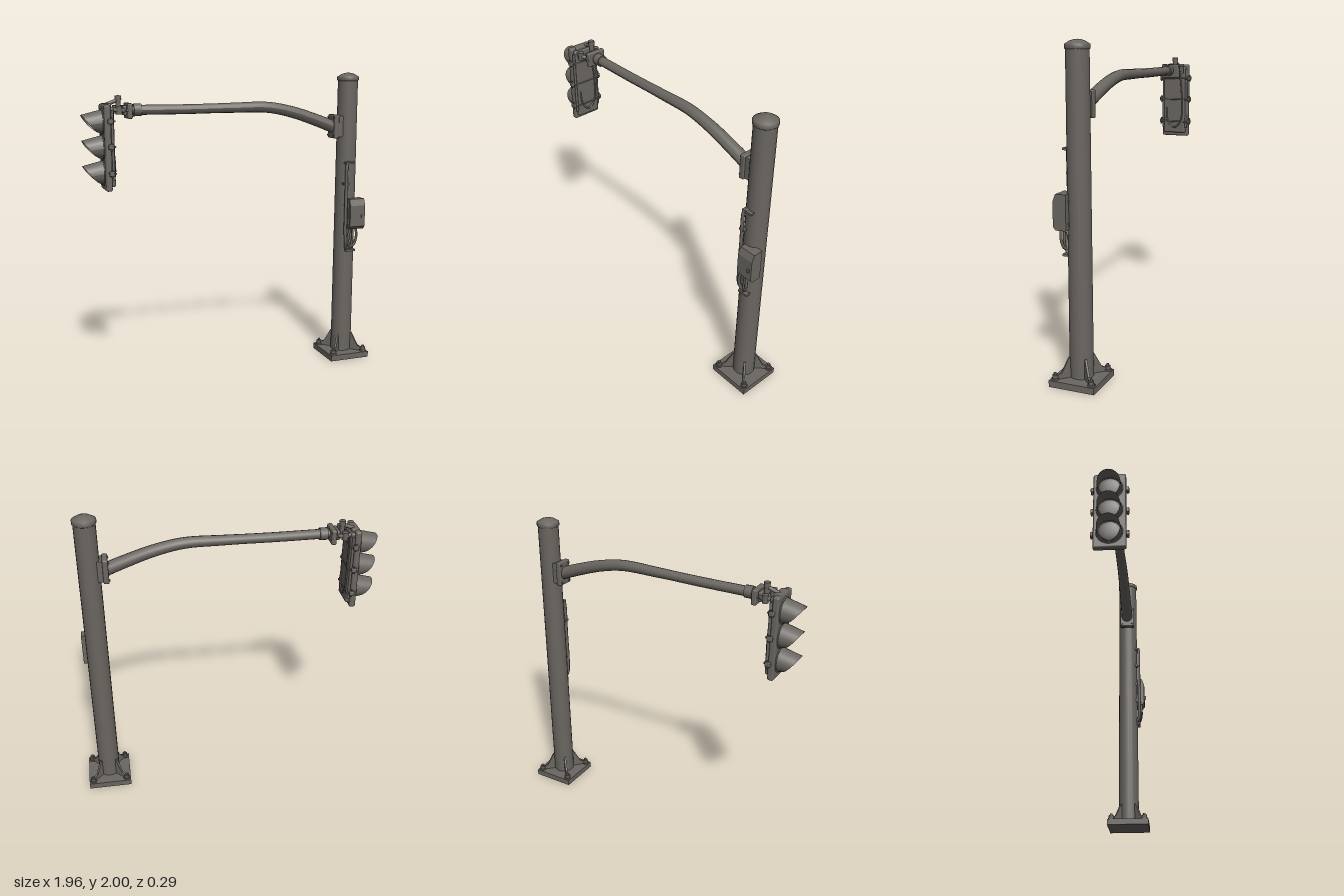
import * as THREE from 'three';
import { RoundedBoxGeometry } from 'three/addons/geometries/RoundedBoxGeometry.js';

const V = (x, y, z) => new THREE.Vector3(x, y, z);
const POLE_X = 0.834;

export function createModel() {
  const steel = new THREE.MeshStandardMaterial({ color: 0x6a6661, side: THREE.DoubleSide });
  steel.name = 'weathered grey steel';
  const root = new THREE.Group();
  root.name = 'trafficSignalPole';

  // Helpers
  const add = (parent, name, geo, x = 0, y = 0, z = 0) => {
    const m = new THREE.Mesh(geo, steel);
    m.name = name;
    m.position.set(x, y, z);
    parent.add(m);
    return m;
  };
  const group = (name, x = 0, y = 0, z = 0) => {
    const g = new THREE.Group();
    g.name = name;
    g.position.set(x, y, z);
    root.add(g);
    return g;
  };
  const box = (p, name, w, h, d, x, y, z) => add(p, name, new THREE.BoxGeometry(w, h, d), x, y, z);
  const rbox = (p, name, w, h, d, x, y, z, r = 0.01) =>
    add(p, name, new RoundedBoxGeometry(w, h, d, 2, r), x, y, z);
  const rod = (p, name, a, b, r, sides = 10) => {
    const dir = b.clone().sub(a);
    const m = add(p, name, new THREE.CylinderGeometry(r, r, dir.length(), sides));
    m.position.copy(a).add(b).multiplyScalar(0.5);
    m.quaternion.setFromUnitVectors(V(0, 1, 0), dir.normalize());
    return m;
  };
  const pipe = (p, name, pts, r, seg = 32) =>
    add(p, name, new THREE.TubeGeometry(new THREE.CatmullRomCurve3(pts, false, 'centripetal'), seg, r, 8));

  // Base plate with corner gussets and anchor bolts
  const base = group('base', POLE_X);
  box(base, 'basePlate', 0.29, 0.04, 0.29, 0, 0.02, 0);
  const gusset = new THREE.Shape();
  [[0.05, 0.04], [0.175, 0.04], [0.175, 0.052], [0.125, 0.075], [0.078, 0.165], [0.05, 0.165]]
    .forEach(([x, y], i) => (i ? gusset.lineTo(x, y) : gusset.moveTo(x, y)));
  const gussetGeo = new THREE.ExtrudeGeometry(gusset, { depth: 0.014, bevelEnabled: false });
  gussetGeo.translate(0, 0, -0.007);
  for (let i = 0; i < 4; i++) {
    const a = Math.PI / 4 + (i * Math.PI) / 2;
    add(base, 'gusset', gussetGeo).rotation.y = a;
    const x = Math.cos(a) * 0.165, z = -Math.sin(a) * 0.165;
    add(base, 'boltWasher', new THREE.CylinderGeometry(0.023, 0.023, 0.01, 12), x, 0.045, z);
    add(base, 'boltNut', new THREE.CylinderGeometry(0.018, 0.018, 0.02, 6), x, 0.06, z);
    add(base, 'boltEnd', new THREE.CylinderGeometry(0.009, 0.009, 0.014, 8), x, 0.075, z);
  }

  // Pole and domed cap
  add(root, 'pole', new THREE.CylinderGeometry(0.068, 0.072, 1.92, 20), POLE_X, 1.0, 0);
  const cap = [[0.068, 1.945], [0.074, 1.95], [0.074, 1.972], [0.066, 1.977], [0.045, 1.99], [0.02, 1.998], [0, 2]];
  add(root, 'poleCap', new THREE.LatheGeometry(cap.map(([r, y]) => new THREE.Vector2(r, y)), 20), POLE_X, 0, 0);

  // Arm mounting bracket
  const mount = group('armMount', 0, 1.64, 0);
  rbox(mount, 'mountPlate', 0.035, 0.16, 0.11, 0.734, 0, 0, 0.008);
  box(mount, 'mountSaddle', 0.05, 0.14, 0.09, 0.76, 0, 0);
  for (const y of [-0.06, 0.06]) for (const z of [-0.04, 0.04])
    rod(mount, 'mountBolt', V(0.71, y, z), V(0.72, y, z), 0.008, 6);

  // Tapered curved arm: a cylinder bent along a curve
  const path = new THREE.CatmullRomCurve3([V(0.73, 1.637, 0), V(0.6, 1.685, 0), V(0.43, 1.74, 0),
    V(0.25, 1.775, 0), V(0.0, 1.776, 0), V(-0.3, 1.772, 0), V(-0.63, 1.772, 0)]);
  const armGeo = new THREE.CylinderGeometry(1, 1, 1, 12, 32);
  const pos = armGeo.attributes.position;
  for (let i = 0; i < pos.count; i++) {
    const t = THREE.MathUtils.clamp(pos.getY(i) + 0.5, 0, 1);
    const r = 0.042 - 0.011 * Math.min(1, t * 1.6);
    const n = path.getTangentAt(t).cross(V(0, 0, 1));
    const p = path.getPointAt(t).addScaledVector(n, pos.getX(i) * r);
    pos.setXYZ(i, p.x, p.y, pos.getZ(i) * r);
  }
  armGeo.computeVertexNormals();
  add(root, 'arm', armGeo);

  // Clamp and hanger joining the arm to the signal
  const hanger = group('signalHanger');
  rod(hanger, 'armCollar', V(-0.605, 1.772, 0), V(-0.655, 1.772, 0), 0.039, 12);
  rod(hanger, 'armNeck', V(-0.65, 1.772, 0), V(-0.73, 1.772, 0), 0.027, 12);
  rbox(hanger, 'clampPlate', 0.032, 0.095, 0.13, -0.685, 1.768, -0.005, 0.008);
  rbox(hanger, 'clampJaw', 0.025, 0.06, 0.1, -0.715, 1.772, 0, 0.008);
  for (const s of [-1, 1]) {
    pipe(hanger, 'hangerLoop', [V(-0.71, 1.772, s * 0.025), V(-0.728, 1.772, s * 0.052),
      V(-0.755, 1.774, s * 0.062), V(-0.785, 1.778, s * 0.058), V(-0.82, 1.78, s * 0.055)], 0.014, 16);
    rod(hanger, 'hangerKnuckle', V(-0.755, 1.75, s * 0.06), V(-0.755, 1.8, s * 0.06), 0.021, 8);
    rod(hanger, 'clampBolt', V(-0.67, 1.772, s * 0.053), V(-0.71, 1.772, s * 0.053), 0.009, 6);
  }
  rod(hanger, 'hangerPost', V(-0.744, 1.745, -0.02), V(-0.744, 1.855, -0.02), 0.016);
  rod(hanger, 'hangerPostCap', V(-0.744, 1.835, -0.02), V(-0.744, 1.862, -0.02), 0.021, 8);
  rod(hanger, 'hangerLink', V(-0.744, 1.835, -0.02), V(-0.825, 1.805, -0.02), 0.012);

  // Signal housing, facing -x
  const head = group('signalHead', -0.825, 1.545, 0);
  rbox(head, 'housingFront', 0.04, 0.53, 0.2, -0.008, 0, 0, 0.012);
  rbox(head, 'housingBack', 0.035, 0.49, 0.165, 0.018, 0.005, 0, 0.012);
  rbox(head, 'topCap', 0.05, 0.03, 0.12, 0, 0.255, 0, 0.01);
  for (const s of [-1, 1]) {
    rod(head, 'sideRail', V(0.022, -0.2, s * 0.088), V(0.022, 0.23, s * 0.088), 0.009, 8);
    for (const y of [-0.155, 0.01, 0.165]) {
      rbox(head, 'latch', 0.035, 0.03, 0.022, 0.008, y, s * 0.107, 0.006);
      rod(head, 'latchPin', V(0.01, y - 0.024, s * 0.11), V(0.01, y + 0.024, s * 0.11), 0.006, 6);
    }
  }
  for (const y of [-0.155, 0.01, 0.165])
    rod(head, 'backStrap', V(0.034, y, -0.1), V(0.034, y, 0.1), 0.006, 6);
  pipe(head, 'backCable', [V(0.034, 0.22, -0.04), V(0.038, 0, -0.06), V(0.038, -0.15, -0.05),
    V(0.038, -0.2, 0), V(0.038, -0.15, 0.05), V(0.034, -0.05, 0.06)], 0.006);

  // Hooded visors and domed lenses
  const R = 0.078;
  const visorGeo = new THREE.CylinderGeometry(R, R, 1, 24, 4, true);
  const vp = visorGeo.attributes.position;
  for (let i = 0; i < vp.count; i++) {
    const up = THREE.MathUtils.clamp(vp.getX(i) / R, -1, 1);
    const t = vp.getY(i) + 0.5, side = vp.getZ(i) / R;
    const reach = 0.012 + 0.12 * Math.pow((up + 1) / 2, 0.65);
    const r = R * (1 - 0.1 * t);
    vp.setXYZ(i, -t * reach, up * r - 0.025 * t * (up + 1) / 2, side * r);
  }
  visorGeo.computeVertexNormals();
  const lensGeo = new THREE.SphereGeometry(0.07, 20, 6, 0, Math.PI * 2, 0, Math.PI / 2);
  lensGeo.scale(1, 0.22, 1);
  lensGeo.rotateZ(Math.PI / 2);
  for (const y of [-0.157, 0, 0.157]) {
    add(head, 'visor', visorGeo, -0.024, y, 0);
    add(head, 'lens', lensGeo, -0.027, y, 0);
    add(head, 'lensRing', new THREE.TorusGeometry(0.077, 0.006, 6, 24), -0.028, y, 0).rotation.y = Math.PI / 2;
  }

  // Control box on the pole front
  const control = group('controlBox');
  const profile = new THREE.Shape();
  [[0.04, 0.935], [0.105, 0.935], [0.122, 0.955], [0.122, 1.1], [0.105, 1.145], [0.04, 1.145]]
    .forEach(([z, y], i) => (i ? profile.lineTo(-z, y) : profile.moveTo(-z, y)));
  const boxGeo = new THREE.ExtrudeGeometry(profile, { depth: 0.112, bevelEnabled: false });
  boxGeo.rotateY(Math.PI / 2);
  add(control, 'boxBody', boxGeo, 0.818, 0, 0);
  box(control, 'boxLatch', 0.014, 0.025, 0.01, 0.908, 1.025, 0.126);
  box(control, 'boxHinge', 0.012, 0.17, 0.045, 0.815, 1.035, 0.08);
  for (const y of [0.965, 1.1]) box(control, 'boxBracket', 0.1, 0.02, 0.05, 0.85, y, 0.06);

  // Conduit up the pole and cable loops under the box
  pipe(control, 'conduit', [V(0.82, 0.79, 0.06), V(0.808, 0.83, 0.082), V(0.801, 0.92, 0.085),
    V(0.801, 1.15, 0.084), V(0.801, 1.37, 0.084), V(0.806, 1.392, 0.08), V(0.825, 1.395, 0.06)], 0.011);
  pipe(control, 'cableLoop', [V(0.875, 0.95, 0.095), V(0.88, 0.88, 0.098), V(0.866, 0.825, 0.09),
    V(0.84, 0.81, 0.085), V(0.822, 0.84, 0.092), V(0.82, 0.89, 0.1), V(0.833, 0.95, 0.1)], 0.009);
  pipe(control, 'cableTail', [V(0.855, 0.95, 0.085), V(0.855, 0.86, 0.09), V(0.846, 0.8, 0.082),
    V(0.84, 0.775, 0.06)], 0.008);
  const clips = [[0.845, 0.78, 0.07], [0.828, 1.393, 0.07], [0.801, 1.25, 0.04]];
  for (const [x, y, w] of clips) box(control, 'conduitClip', w, 0.014, 0.035, x, y, 0.072);

  return root;
}
